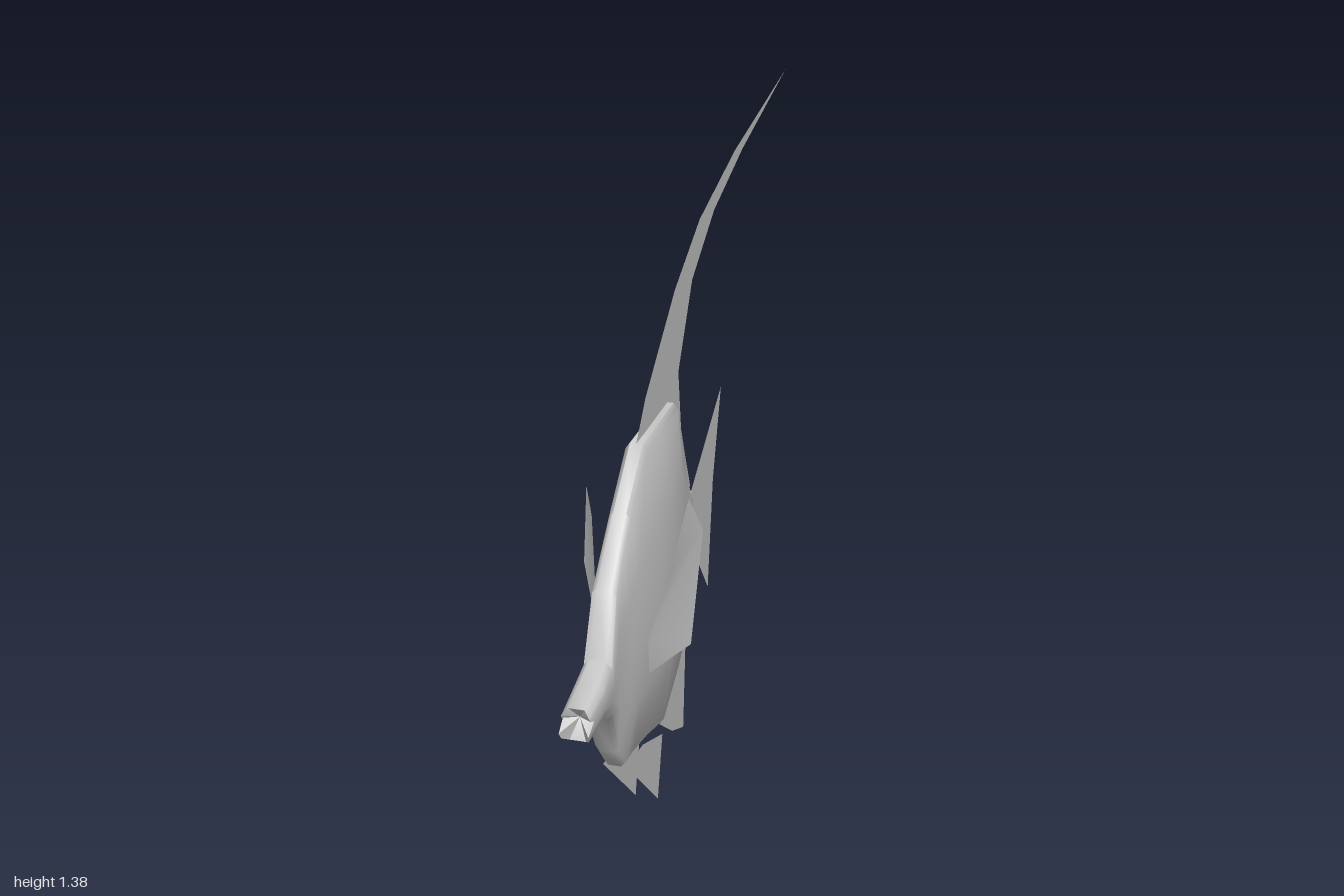
import * as THREE from 'three';
import { toCreasedNormals } from 'three/addons/utils/BufferGeometryUtils.js';

const skin = new THREE.MeshStandardMaterial({ color: 0xcccccc });
const finSkin = new THREE.MeshStandardMaterial({ color: 0xcccccc, side: THREE.DoubleSide });

// Body stations, snout to tail: z, bottom y, top y, rim half width, flank half width
const STATIONS = [
  [0.97, 0.555, 0.64, 0.031, 0.035],
  [0.88, 0.55, 0.645, 0.034, 0.038],
  [0.81, 0.51, 0.66, 0.032, 0.038],
  [0.75, 0.38, 0.81, 0.028, 0.036],
  [0.69, 0.30, 0.87, 0.026, 0.044],
  [0.62, 0.285, 0.93, 0.025, 0.052],
  [0.48, 0.245, 1.03, 0.025, 0.066],
  [0.35, 0.197, 1.015, 0.025, 0.063],
  [0.21, 0.26, 1.0, 0.025, 0.046],
  [0.15, 0.285, 0.88, 0.022, 0.035],
  [0.04, 0.51, 0.66, 0.014, 0.016],
  [-0.01, 0.50, 0.645, 0.004, 0.005],
];

// z offsets of the first section, bottom to top, that open the mouth
const LIPS = [0, 0.02, 0.03, -0.01, 0.01, 0.015, 0.005];

// Closed section: bevelled rim at top and bottom, widest at mid height
function section([z, yb, yt, r, w], index) {
  const bevel = 0.014, mid = 0.605, q = r + (w - r) * 0.6;
  const half = [
    [0.6 * r, yb], [r, yb + bevel], [q, (yb + bevel + mid) / 2], [w, mid],
    [q, (yt - bevel + mid) / 2], [r, yt - bevel], [0.6 * r, yt],
  ].map(([x, y], i) => [x, y, z + (index === 0 ? LIPS[i] : 0)]);
  return [...half, ...half.map(([x, y, zz]) => [-x, y, zz]).reverse()];
}

function bodyGeometry() {
  const rings = STATIONS.map(section);
  const n = rings[0].length;
  const points = rings.flat();
  const front = points.push([0, 0.605, 0.95]) - 1;
  const back = points.push([0, 0.575, -0.01]) - 1;
  const last = (rings.length - 1) * n;
  const index = [];
  for (let i = 0; i < n; i++) {
    const j = (i + 1) % n;
    for (let s = 0; s < last; s += n) {
      const a = s + i, b = s + j, c = b + n, d = a + n;
      index.push(a, c, b, a, d, c);
    }
    index.push(front, i, j, back, last + j, last + i);
  }
  const geometry = new THREE.BufferGeometry();
  geometry.setAttribute('position', new THREE.Float32BufferAttribute(points.flat(), 3));
  geometry.setIndex(index);
  return toCreasedNormals(geometry, 0.85);
}

// Thin fin drawn as a [z, y] outline and stood in the side plane at x
function flatFin(name, outline, x = 0) {
  const shape = new THREE.Shape(outline.map(([z, y]) => new THREE.Vector2(z, y)));
  const fin = new THREE.Mesh(new THREE.ShapeGeometry(shape).rotateY(-Math.PI / 2), finSkin);
  fin.name = name;
  fin.position.x = x;
  return fin;
}

// Side fin flaring away from the flank, as strips between front and rear edges
function pectoralFin(name, side) {
  const points = [
    [0.05, 0.485, 0.57], [0.12, 0.505, 0.455],
    [0.06, 0.60, 0.607], [0.133, 0.78, 0.395],
    [0.10, 0.76, 0.57], [0.12, 0.905, 0.475],
  ].map(([x, y, z]) => [x * side, y, z]);
  const geometry = new THREE.BufferGeometry();
  geometry.setAttribute('position', new THREE.Float32BufferAttribute(points.flat(), 3));
  const faces = [0, 1, 2, 1, 3, 2, 2, 3, 4, 3, 5, 4];
  geometry.setIndex(side > 0 ? faces.reverse() : faces);
  geometry.computeVertexNormals();
  const fin = new THREE.Mesh(geometry, finSkin);
  fin.name = name;
  return fin;
}

export function createModel() {
  const fish = new THREE.Group();
  fish.name = 'fish';

  const body = new THREE.Mesh(bodyGeometry(), skin);
  body.name = 'body';
  fish.add(body);

  // Long trailing back fin
  fish.add(flatFin('dorsalFin', [
    [0.48, 1.03], [0.40, 1.105], [0.14, 1.255], [-0.09, 1.335], [-0.44, 1.372], [-1.0, 1.38],
    [-0.52, 1.345], [-0.23, 1.30], [-0.02, 1.21], [0.11, 1.03], [0.085, 0.86], [0.0, 0.665],
    [0.04, 0.655], [0.21, 0.995],
  ]));

  // Tail and rear belly fin
  fish.add(flatFin('tailFin', [
    [0.0, 0.64], [-0.31, 0.785], [-0.23, 0.56], [-0.18, 0.27], [0.0, 0.505],
  ]));
  fish.add(flatFin('analFin', [
    [0.35, 0.20], [0.18, 0.06], [0.07, 0.0], [0.02, 0.51], [0.045, 0.51], [0.15, 0.29],
  ]));

  // Paired fins
  for (const [label, side] of [['left', 1], ['right', -1]]) {
    fish.add(pectoralFin(label + 'PectoralFin', side));
    fish.add(flatFin(label + 'PelvicFin', [
      [0.69, 0.30], [0.55, 0.27], [0.375, 0.185], [0.42, 0.025],
    ], side * 0.028));
  }
  return fish;
}
